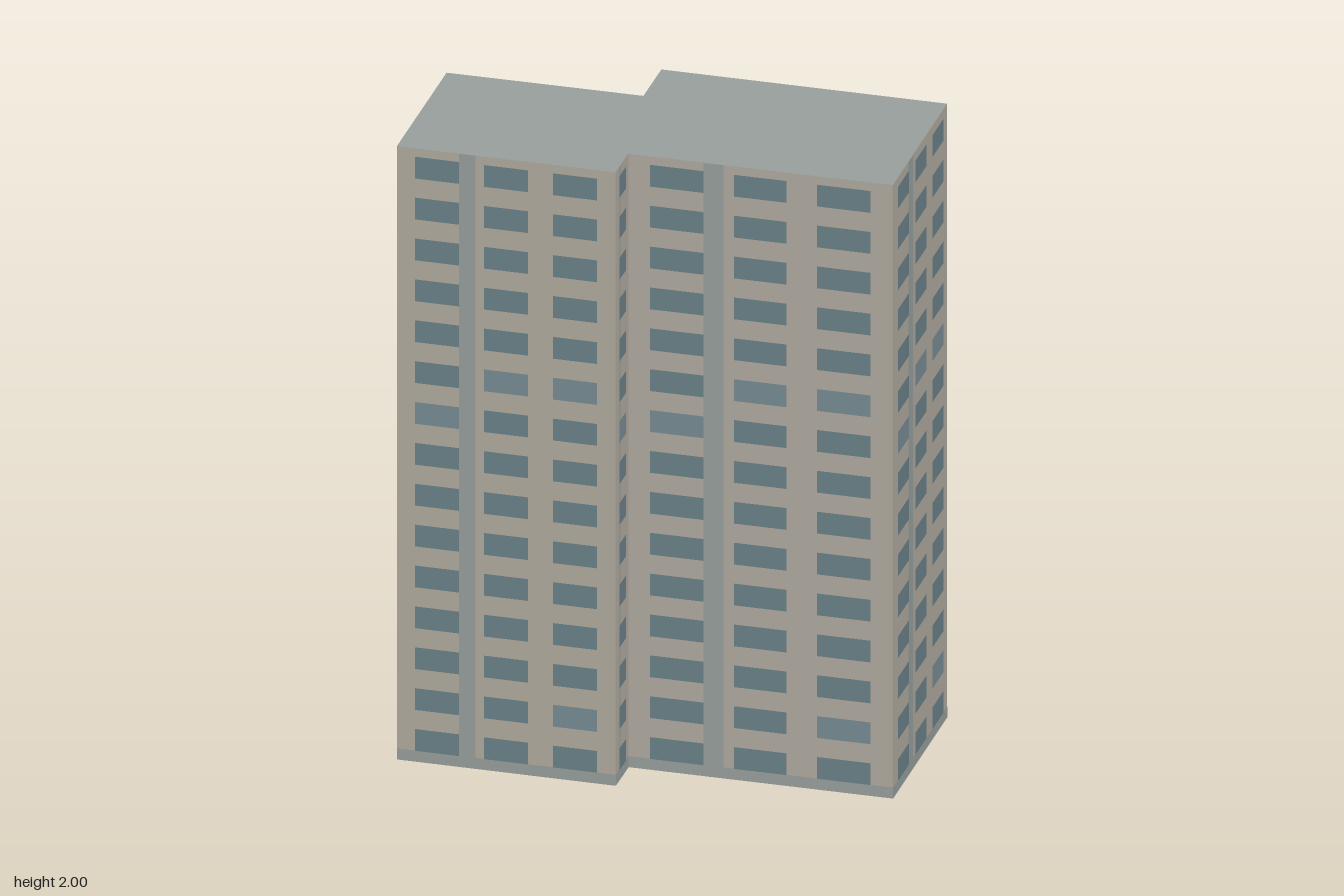
import * as THREE from 'three';
import { mergeGeometries } from 'three/addons/utils/BufferGeometryUtils.js';

const HEIGHT = 2, FLOORS = 15, FLOOR = HEIGHT / FLOORS;
const BASE = 0.036, WINDOW_H = 0.071;

// Stepped footprint [x, z], running left to right as seen from outside
const PLAN = [
  [-0.692, -0.472], [-0.354, 0.111], [-0.235, 0.042], [0.176, 0.745],
  [0.692, 0.44], [0.249, -0.321], [0.081, -0.223], [-0.226, -0.745],
];
// Window columns and vertical strip as fractions of the wall width
const COLUMNS = [[0.083, 0.285], [0.4, 0.6], [0.715, 0.917]];
const NARROW_COLUMNS = [[0.22, 0.75]];
const STRIP = [0.285, 0.36];
// Lighter panes as floor,column
const LIGHT = new Set(['9,1', '9,2', '8,0', '1,2']);

// Upright panel on the wall from a to b, between fractions t0..t1 and heights y0..y1
function panel(a, b, [t0, t1], y0, y1, offset = 0) {
  const dx = b[0] - a[0], dz = b[1] - a[1], len = Math.hypot(dx, dz);
  const t = (t0 + t1) / 2;
  const g = new THREE.PlaneGeometry(len * (t1 - t0), y1 - y0);
  g.rotateY(Math.atan2(-dz, dx));
  g.translate(a[0] + dx * t - dz / len * offset, (y0 + y1) / 2, a[1] + dz * t + dx / len * offset);
  return g;
}

export function createModel() {
  const model = new THREE.Group();
  model.name = 'towerBlock';
  const walls = [], bases = [], strips = [], panes = [], lightPanes = [];

  PLAN.forEach((a, i) => {
    const b = PLAN[(i + 1) % PLAN.length];
    const narrow = Math.hypot(b[0] - a[0], b[1] - a[1]) < 0.25;
    walls.push(panel(a, b, [0, 1], 0, HEIGHT));
    bases.push(panel(a, b, [0, 1], 0, BASE, 0.0015));
    strips.push(panel(a, b, STRIP, BASE, HEIGHT, 0.0015));
    // Window grid
    (narrow ? NARROW_COLUMNS : COLUMNS).forEach((span, c) => {
      for (let f = 0; f < FLOORS; f++) {
        const y = BASE + f * FLOOR;
        const list = LIGHT.has(`${f},${c}`) ? lightPanes : panes;
        list.push(panel(a, b, span, y, y + WINDOW_H, 0.003));
      }
    });
  });

  const add = (name, geometry, color, side = THREE.FrontSide) => {
    const mesh = new THREE.Mesh(geometry, new THREE.MeshStandardMaterial({ color, side }));
    mesh.name = name;
    model.add(mesh);
  };
  // Hollow shell, open underneath
  add('walls', mergeGeometries(walls), 0xb0a99e, THREE.DoubleSide);
  add('baseBand', mergeGeometries(bases), 0x969e9b);
  add('verticalStrips', mergeGeometries(strips), 0x969e9b);
  add('windows', mergeGeometries(panes), 0x6a8087);
  add('lightWindows', mergeGeometries(lightPanes), 0x768b93);

  // Flat roof
  const shape = new THREE.Shape(PLAN.map(([x, z]) => new THREE.Vector2(x, -z)));
  const roof = new THREE.ShapeGeometry(shape).rotateX(-Math.PI / 2).translate(0, HEIGHT, 0);
  add('roof', roof, 0x969e9b, THREE.DoubleSide);
  return model;
}
